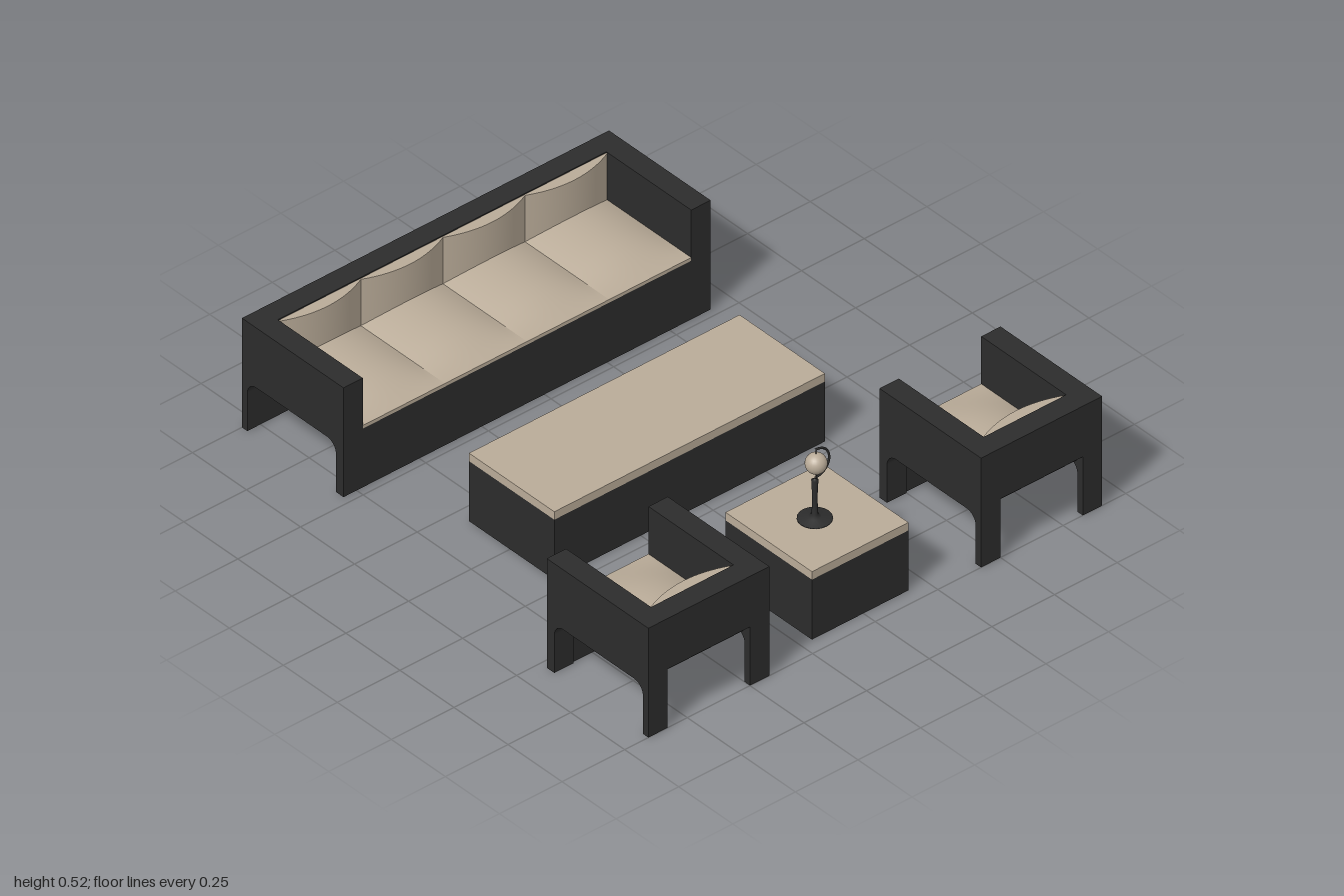
import * as THREE from 'three';

const frame = new THREE.MeshStandardMaterial({ color: 0x2c2c2c });
frame.name = 'charcoal frame';
const cream = new THREE.MeshStandardMaterial({ color: 0xb9ab98 });
cream.name = 'beige upholstery';

function add(parent, name, geometry, material, x = 0, y = 0, z = 0) {
  const mesh = new THREE.Mesh(geometry, material);
  mesh.name = name;
  mesh.position.set(x, y, z);
  parent.add(mesh);
  return mesh;
}

// Box given by its lower and upper limits
function block(parent, name, material, [x0, x1], [y0, y1], [z0, z1]) {
  return add(parent, name, new THREE.BoxGeometry(x1 - x0, y1 - y0, z1 - z0), material,
    (x0 + x1) / 2, (y0 + y1) / 2, (z0 + z1) / 2);
}

const H = 0.41;      // height of arms and back
const D = 0.235;     // half depth of a seat
const ARM = 0.077;   // thickness of arms and back
const SEAT = 0.22;   // top of the frame below the cushions

// Arm panel with a round-cornered arch that leaves two legs
function armGeometry() {
  const front = D - 0.035, back = -D + 0.025, top = 0.185, r = 0.042;
  const s = new THREE.Shape();
  s.moveTo(-D, 0);
  s.lineTo(back, 0);
  s.lineTo(back, top - r);
  s.absarc(back + r, top - r, r, Math.PI, Math.PI / 2, true);
  s.lineTo(front - r, top);
  s.absarc(front - r, top - r, r, Math.PI / 2, 0, true);
  s.lineTo(front, 0);
  s.lineTo(D, 0);
  s.lineTo(D, H);
  s.lineTo(-D, H);
  s.closePath();
  const g = new THREE.ExtrudeGeometry(s, { depth: ARM, bevelEnabled: false, curveSegments: 8 });
  // Shape x becomes z, and the extrusion runs along x
  return g.rotateY(-Math.PI / 2).translate(ARM / 2, 0, 0);
}

// Seat cushion whose top swells across its width, from a straight front edge
function seatCushion(width, depth) {
  const h = 0.012;
  const g = new THREE.BoxGeometry(width, h, depth, 16, 1, 10).translate(0, h / 2, 0);
  const p = g.attributes.position;
  for (let i = 0; i < p.count; i++) {
    if (p.getY(i) < h / 2) continue;
    const u = 2 * p.getX(i) / width;
    const t = Math.min(1, (0.5 - p.getZ(i) / depth) * 2);
    p.setY(i, h + 0.04 * (1 - u * u) * Math.sin(t * Math.PI / 2));
  }
  g.computeVertexNormals();
  return g;
}

// Back cushion whose front bulges across its width
function backCushion(width, height) {
  const d = 0.004;
  const g = new THREE.BoxGeometry(width, height, d, 16, 1, 1).translate(0, height / 2, d / 2);
  const p = g.attributes.position;
  for (let i = 0; i < p.count; i++) {
    if (p.getZ(i) < d / 2) continue;
    const u = 2 * p.getX(i) / width;
    p.setZ(i, d + 0.038 * (1 - u * u));
  }
  g.computeVertexNormals();
  return g;
}

// Armed seat facing +z, with any number of cushions
function makeSeat(name, width, cushions, closedBack) {
  const seat = new THREE.Group();
  seat.name = name;
  const inner = width / 2 - ARM;
  const span = [-inner, inner];
  const arm = armGeometry();
  for (const side of [-1, 1]) {
    add(seat, side > 0 ? 'leftArm' : 'rightArm', arm, frame, side * (width - ARM) / 2);
  }
  block(seat, 'backPanel', frame, span, [closedBack ? 0.185 : SEAT, H], [-D, -D + ARM]);
  if (closedBack) block(seat, 'lowerBackPanel', frame, span, [0, 0.185], [-D, -D + 0.025]);
  block(seat, 'frontSkirt', frame, span, [0, SEAT], [D - 0.03, D]);
  block(seat, 'seatDeck', frame, span, [0.19, SEAT], [-D + (closedBack ? ARM : 0.03), D - 0.03]);

  const w = 2 * inner / cushions;
  const depth = 2 * D - ARM;
  const seatShape = seatCushion(w, depth);
  const backShape = backCushion(w, H - SEAT - 0.004);
  for (let i = 0; i < cushions; i++) {
    const x = -inner + (i + 0.5) * w;
    add(seat, 'seatCushion', seatShape, cream, x, SEAT, ARM / 2);
    add(seat, 'backCushion', backShape, cream, x, SEAT, -D + ARM);
  }
  return seat;
}

// Solid table with a flush pale top
function makeTable(name, x, z) {
  const table = new THREE.Group();
  table.name = name;
  block(table, 'tableBody', frame, x, [0, 0.225], z);
  block(table, 'tableTop', cream, x, [0.225, 0.255], z);
  return table;
}

// Small globe on a turned stand
function makeGlobe() {
  const globe = new THREE.Group();
  globe.name = 'deskGlobe';
  const profile = [[0, 0], [0.055, 0], [0.055, 0.004], [0.02, 0.009], [0.01, 0.018],
    [0.008, 0.08], [0.011, 0.145], [0, 0.152]].map(([x, y]) => new THREE.Vector2(x, y));
  add(globe, 'stand', new THREE.LatheGeometry(profile, 20), frame, -0.005);
  add(globe, 'ball', new THREE.SphereGeometry(0.035, 24, 16), cream, 0, 0.205, 0);
  const arc = add(globe, 'meridianArc', new THREE.TorusGeometry(0.052, 0.004, 6, 24, Math.PI * 1.05),
    frame, 0, 0.205, 0);
  arc.rotation.z = -Math.PI * 0.525;
  add(globe, 'axisPin', new THREE.CylinderGeometry(0.002, 0.002, 0.106, 6), frame, 0, 0.205, 0);
  return globe;
}

export function createModel() {
  const model = new THREE.Group();
  model.name = 'loungeSet';

  const sofa = makeSeat('sofa', 1.465, 4, true);
  sofa.position.set(-0.07, 0, -0.765);
  model.add(sofa);

  for (const side of [-1, 1]) {
    const chair = makeSeat(side > 0 ? 'leftArmchair' : 'rightArmchair', 0.483, 1, false);
    chair.position.set(side * 0.664, 0, 0.765);
    chair.rotation.y = Math.PI;
    model.add(chair);
  }

  model.add(makeTable('coffeeTable', [-0.595, 0.485], [-0.19, 0.205]));
  model.add(makeTable('sideTable', [-0.205, 0.18], [0.545, 0.945]));

  const globe = makeGlobe();
  globe.position.set(-0.016, 0.255, 0.745);
  model.add(globe);
  return model;
}
